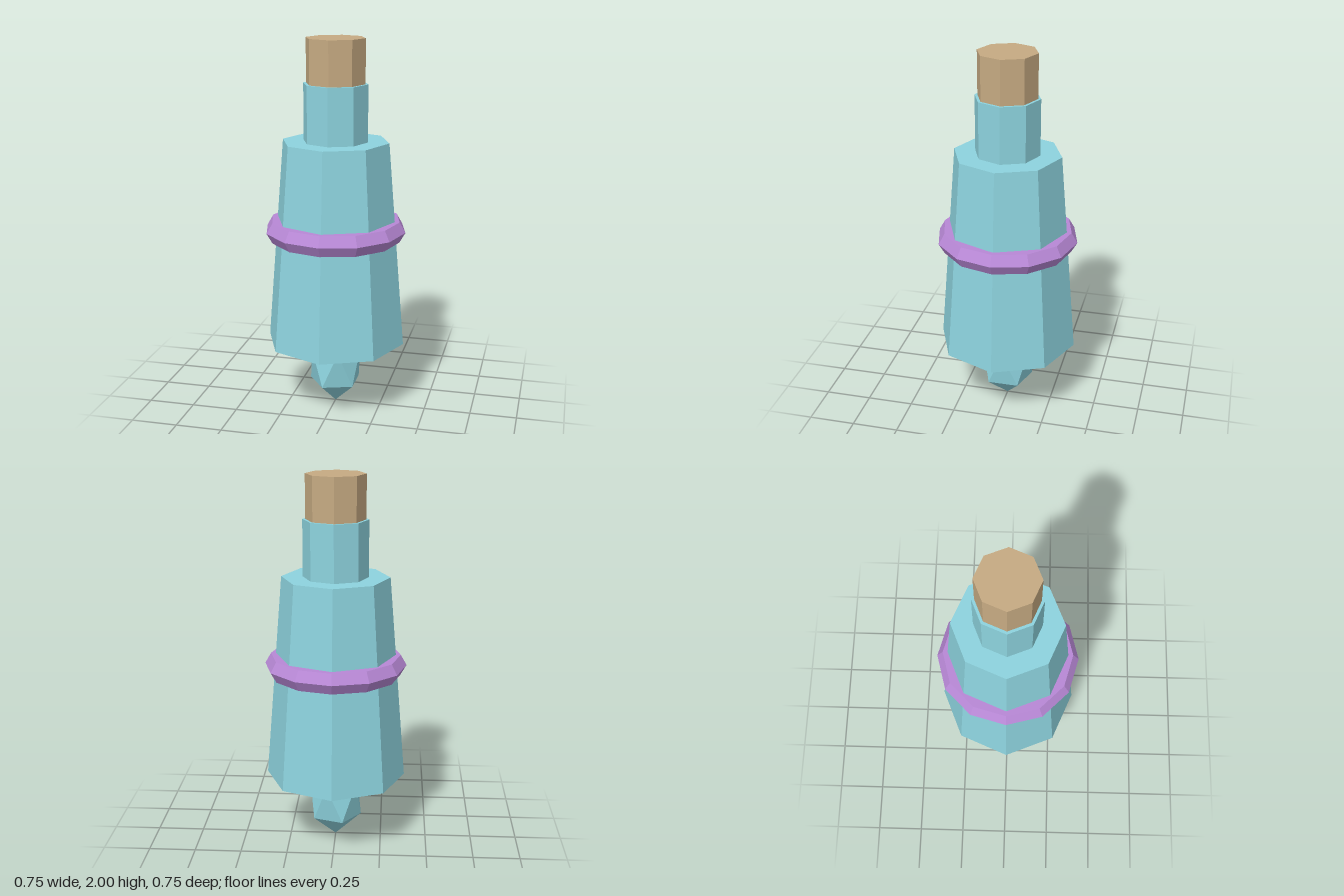
import * as THREE from 'three';

const paint = (color) => new THREE.MeshStandardMaterial({ color, flatShading: true });

export function createModel() {
  const group = new THREE.Group();
  const blue = paint(0x8dd3de);
  const purple = paint(0xb888d6);
  const tan = paint(0xc6aa82);

  const add = (name, geometry, material, y) => {
    const mesh = new THREE.Mesh(geometry, material);
    mesh.name = name;
    mesh.position.y = y;
    group.add(mesh);
    return mesh;
  };

  // Eight-sided section between two heights
  const section = (name, rTop, rBottom, y0, y1, material) =>
    add(name, new THREE.CylinderGeometry(rTop, rBottom, y1 - y0, 8), material, (y0 + y1) / 2);

  section('body', 0.285, 0.375, 0.368, 1.468, blue);
  section('neck', 0.172, 0.172, 1.468, 1.768, blue);
  section('stopper', 0.157, 0.157, 1.768, 2, tan);

  // Hexagonal-section band around the body
  const band = new THREE.TorusGeometry(0.3135, 0.0635, 6, 12).rotateX(Math.PI / 2);
  add('band', band, purple, 0.995);

  // Stretched icosahedron standing on one corner
  const tip = new THREE.IcosahedronGeometry(1, 0);
  tip.rotateZ(-Math.atan(2 / (1 + Math.sqrt(5))));
  tip.scale(0.157, 0.226, 0.157);
  add('tip', tip, blue, 0.226);

  return group;
}
